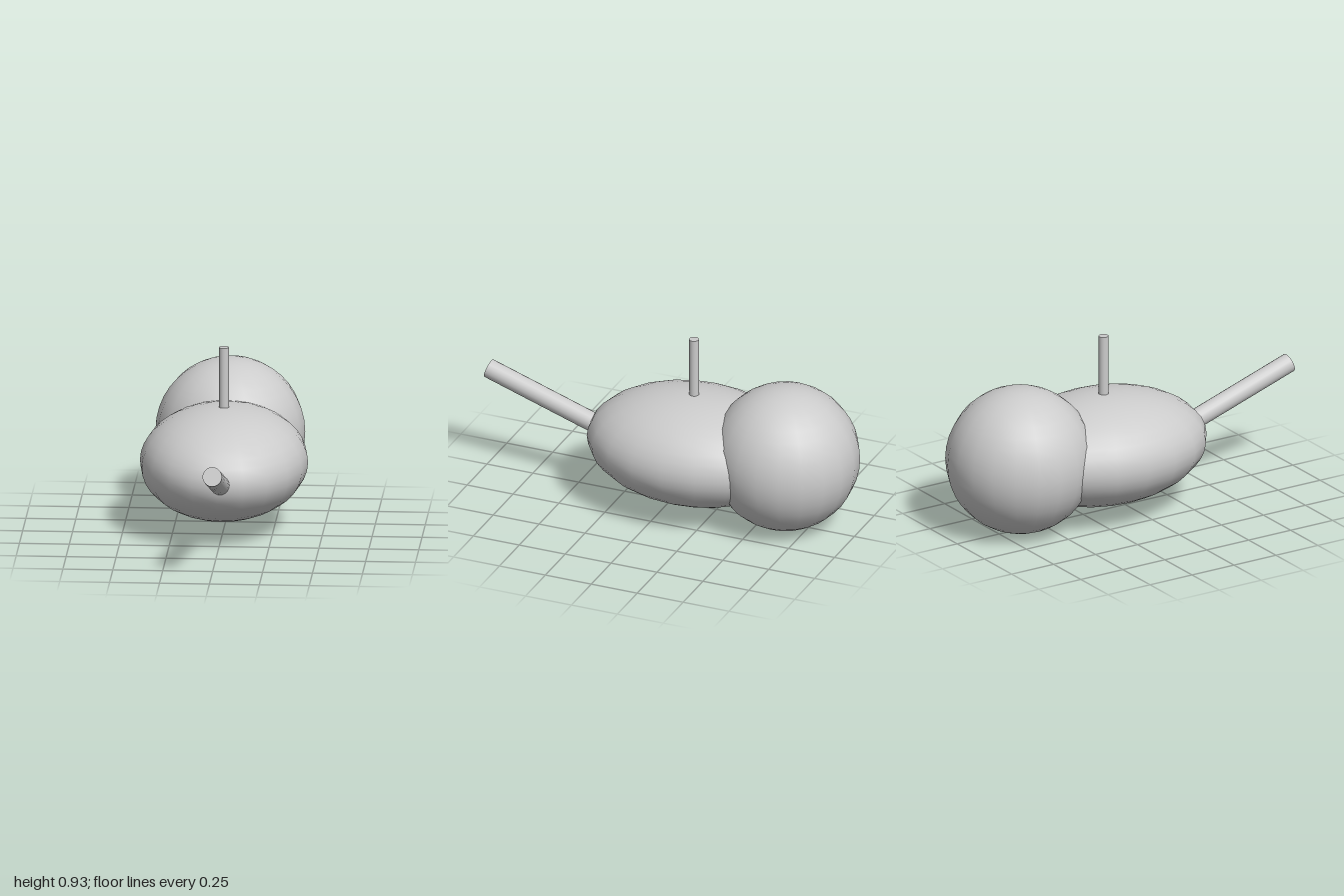
import * as THREE from 'three';

const material = new THREE.MeshStandardMaterial({ color: 0xcccccc });

export function createModel() {
  const group = new THREE.Group();

  // Ellipsoid from a scaled sphere
  const addEllipsoid = (name, position, radii) => {
    const geometry = new THREE.SphereGeometry(1, 20, 20);
    geometry.scale(...radii);
    const mesh = new THREE.Mesh(geometry, material);
    mesh.name = name;
    mesh.position.set(...position);
    group.add(mesh);
  };

  // Round rod between two points
  const addRod = (name, from, to, radius) => {
    const a = new THREE.Vector3(...from);
    const b = new THREE.Vector3(...to);
    const dir = b.clone().sub(a);
    const mesh = new THREE.Mesh(new THREE.CylinderGeometry(radius, radius, dir.length(), 20), material);
    mesh.name = name;
    mesh.position.copy(a).add(b).multiplyScalar(0.5);
    mesh.quaternion.setFromUnitVectors(new THREE.Vector3(0, 1, 0), dir.normalize());
    group.add(mesh);
  };

  // Flattened egg-shaped body and the ball behind it
  addEllipsoid('body', [0, 0.348, -0.13], [0.421, 0.28, 0.558]);
  addEllipsoid('rearBall', [0, 0.379, -0.625], [0.375, 0.375, 0.375]);

  // Rising front rod, set slightly to one side, and the upright top rod
  addRod('frontRod', [0.013, 0.325, 0.3], [0.013, 0.553, 0.985], 0.049);
  addRod('topRod', [0, 0.55, -0.128], [0, 0.935, -0.128], 0.025);

  return group;
}
